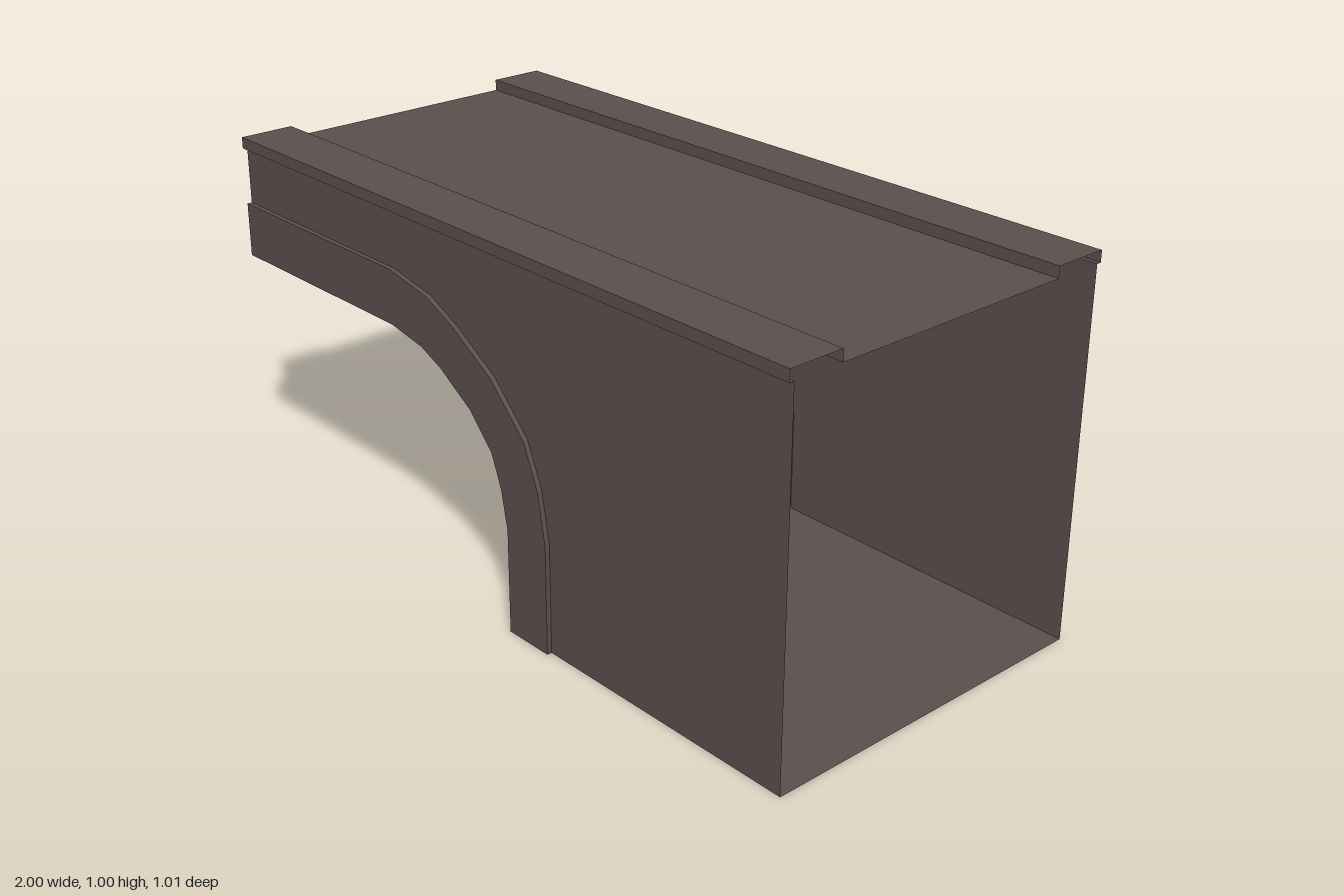
import * as THREE from 'three';

const material = new THREE.MeshStandardMaterial({ color: 0x5c504e, side: THREE.DoubleSide, flatShading: true });

// Matching points along the lower and upper edge of the arch ring (x, y)
const inner = [[-1, 0.673], [-0.35, 0.673], [-0.23, 0.652], [-0.155, 0.62], [-0.043, 0.55],
  [0.037, 0.465], [0.07, 0.38], [0.09, 0.278], [0.09, 0]];
const outer = [[-1, 0.818], [-0.35, 0.818], [-0.2, 0.791], [-0.096, 0.743], [0.043, 0.658],
  [0.16, 0.54], [0.208, 0.428], [0.232, 0.294], [0.232, 0]];

const FRONT = 0.492, BACK = -0.467;          // side walls
const FRONT_RING = 0.505, BACK_RING = -0.503; // outer faces of the arch rings
const FRONT_STEP = 0.355, BACK_STEP = -0.33;  // inner edges of parapets and rings

const lerp = (a, b, t) => [a[0] + (b[0] - a[0]) * t, a[1] + (b[1] - a[1]) * t];
const recessed = inner.map((p, i) => lerp(p, outer[i], 0.07));
const toShape = (pts) => new THREE.Shape(pts.map(([x, y]) => new THREE.Vector2(x, y)));
const band = (a, b) => [...a, ...[...b].reverse()];

// Sheet swept between two ends of a path; place(p, s) gives the 3D point
function sweep(path, s0, s1, place) {
  const pos = [];
  for (let i = 0; i < path.length - 1; i++) {
    const a = place(path[i], s0), b = place(path[i + 1], s0);
    const c = place(path[i + 1], s1), d = place(path[i], s1);
    pos.push(...a, ...b, ...c, ...a, ...c, ...d);
  }
  const g = new THREE.BufferGeometry();
  g.setAttribute('position', new THREE.Float32BufferAttribute(pos, 3));
  g.computeVertexNormals();
  return g;
}
const alongZ = (p, s) => [p[0], p[1], s];
const alongX = (p, s) => [s, p[1], p[0]];

export function createModel() {
  const model = new THREE.Group();
  model.name = 'halfArchBridge';
  const add = (name, geometry, parent = model) => {
    const mesh = new THREE.Mesh(geometry, material);
    mesh.name = name;
    parent.add(mesh);
    return mesh;
  };
  const slab = (pts, z0, z1) => new THREE.ExtrudeGeometry(toShape(pts),
    { depth: z1 - z0, bevelEnabled: false }).translate(0, 0, z0);
  const sheet = (pts, z) => new THREE.ShapeGeometry(toShape(pts)).translate(0, 0, z);

  // Side walls with the arch cut out
  const wall = [...inner, [1, 0], [1, 0.97], [-1, 0.97]];
  add('frontWall', sheet(wall, FRONT));
  add('backWall', sheet(wall, BACK).scale(1, 1, 1));

  // Deck with a hollow raised parapet along each side
  const deck = [[FRONT, 0.97], [0.505, 0.97], [0.505, 1], [FRONT_STEP, 1], [FRONT_STEP, 0.97],
    [BACK_STEP, 0.97], [BACK_STEP, 1], [-0.48, 1], [-0.48, 0.97], [BACK, 0.97]];
  add('deckAndParapets', sweep(deck, -1, 1, alongX));

  // Closed crown end; the other end stays open
  add('crownEnd', new THREE.ShapeGeometry(toShape([...deck, [BACK, 0.673], [BACK_STEP, 0.673],
    [BACK_STEP, 0.683], [FRONT_STEP, 0.683], [FRONT_STEP, 0.673], [FRONT, 0.673]]))
    .rotateY(-Math.PI / 2).translate(-1, 0, 0));

  // Underside of the arch: recessed vault between two lower edge bands
  add('vault', sweep(recessed, BACK_STEP, FRONT_STEP, alongZ));
  add('frontSoffit', sweep(inner, FRONT_STEP, FRONT, alongZ));
  add('backSoffit', sweep(inner, BACK, BACK_STEP, alongZ));
  for (const [name, z] of [['frontVaultStep', FRONT_STEP], ['backVaultStep', BACK_STEP]]) {
    add(name, sheet(band(inner, recessed), z));
  }

  // Floor
  add('floor', sweep([[0.09, 0], [1, 0]], BACK, FRONT, alongZ));

  // Smooth ring on the front
  add('frontArchRing', slab(band(inner, outer), FRONT, FRONT_RING));

  // Ring of separate stones on the back, with narrow joints
  const stones = new THREE.Group();
  stones.name = 'backArchStones';
  model.add(stones);
  add('ringBase', slab(band(inner, outer), -0.486, BACK), stones);
  const last = inner.length - 2;
  for (let i = 0; i <= last; i++) {
    const t0 = i === 0 ? 0 : 0.02, t1 = i === last ? 1 : 0.98;
    add('archStone', slab([
      lerp(inner[i], inner[i + 1], t0), lerp(inner[i], inner[i + 1], t1),
      lerp(outer[i], outer[i + 1], t1), lerp(outer[i], outer[i + 1], t0),
    ], BACK_RING, -0.486), stones);
  }
  return model;
}
